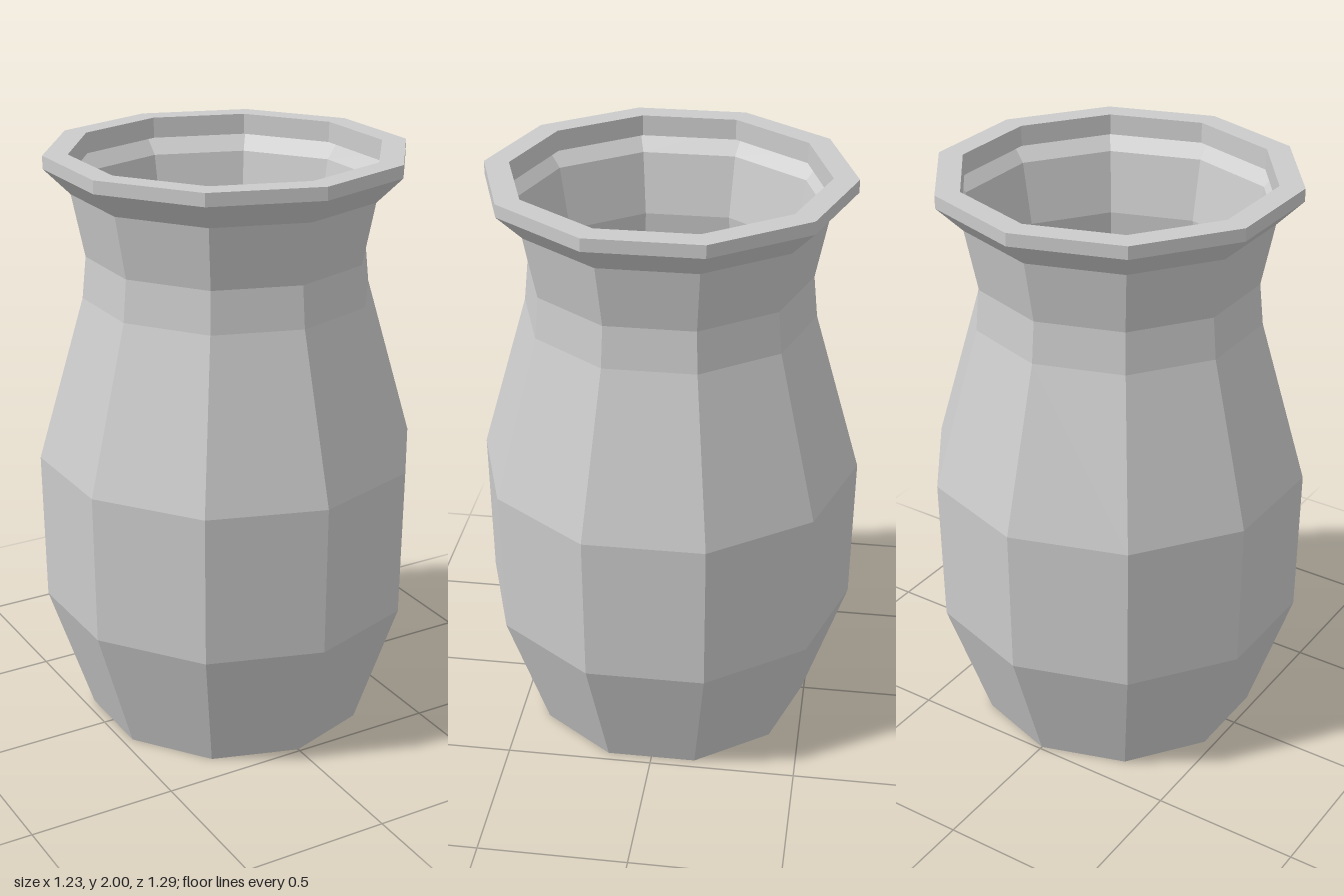
import * as THREE from 'three';

export function createModel() {
  const group = new THREE.Group();
  group.name = 'vase';
  const material = new THREE.MeshStandardMaterial({
    color: 0xcccccc, flatShading: true, side: THREE.DoubleSide,
  });

  // Ten-sided turned part from [radius, height] pairs, one corner facing front
  const turned = (name, profile) => {
    const points = profile.map(([r, y]) => new THREE.Vector2(r, y));
    const mesh = new THREE.Mesh(new THREE.LatheGeometry(points, 10), material);
    mesh.name = name;
    group.add(mesh);
  };

  // Flat base
  turned('base', [[0, 0], [0.49, 0]]);

  // Thin-walled belly, shoulder, neck and flare
  turned('body', [
    [0.49, 0], [0.64, 0.45], [0.647, 0.965], [0.487, 1.52],
    [0.473, 1.66], [0.515, 1.87], [0.602, 1.957],
  ]);

  // Raised rim with an inner lip
  turned('rim', [[0.602, 1.957], [0.602, 2], [0.52, 2], [0.518, 1.93]]);

  return group;
}
